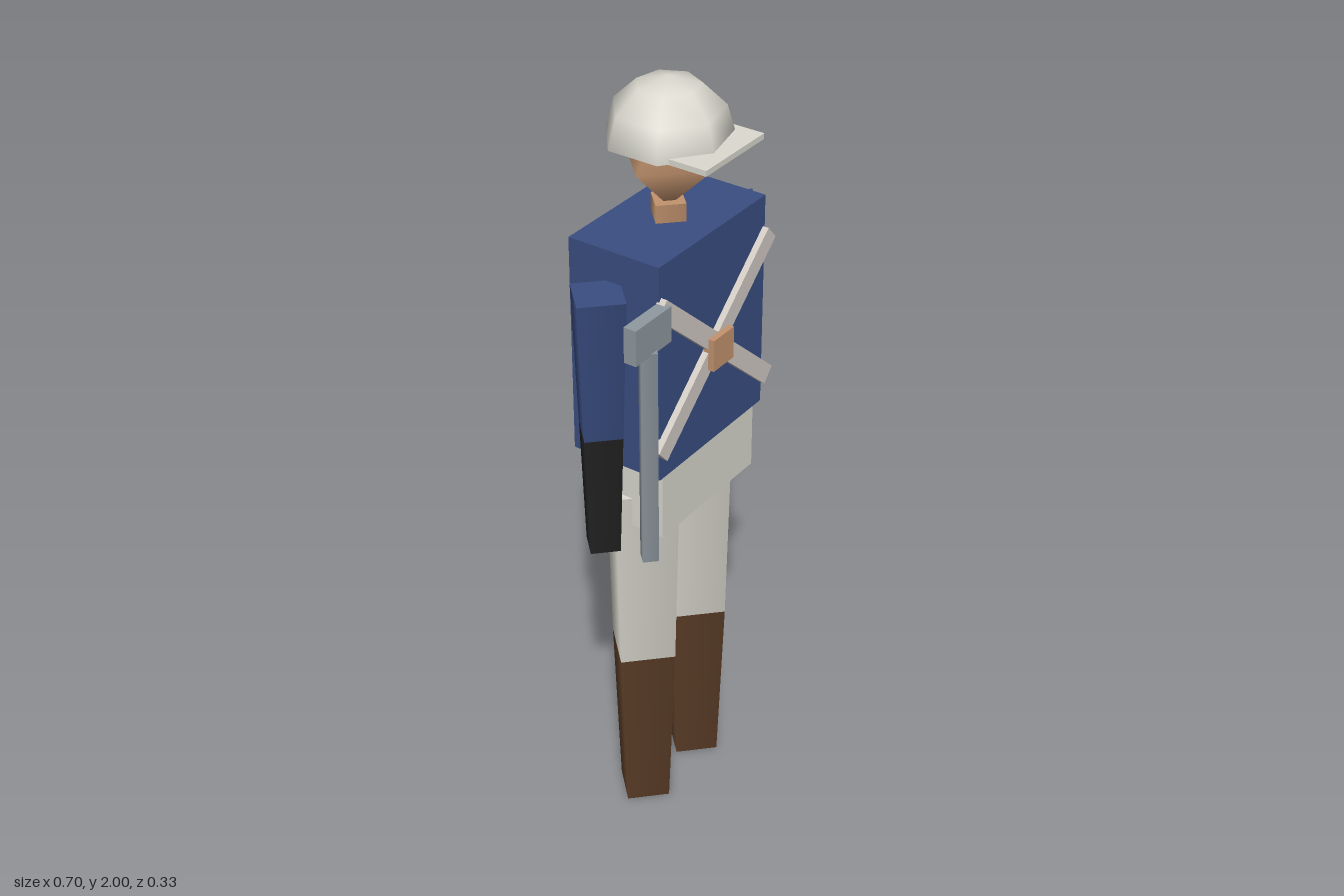
import * as THREE from 'three';

const mat = (name, color) => {
  const m = new THREE.MeshStandardMaterial({ color });
  m.name = name;
  return m;
};

export function createModel() {
  const blue = mat('coat blue', 0x3a4e82);
  const white = mat('off white', 0xdcdad0);
  const strapMat = mat('strap white', 0xd2ccc4);
  const brown = mat('boot brown', 0x5f4029);
  const black = mat('glove black', 0x242424);
  const steel = mat('steel grey', 0x909aa2);
  const skin = mat('skin', 0xc4946f);

  const model = new THREE.Group();
  model.name = 'soldier';
  const Z = -0.017; // body centre line

  const add = (name, geometry, material, x, y, z) => {
    const mesh = new THREE.Mesh(geometry, material);
    mesh.name = name;
    mesh.position.set(x, y, z);
    model.add(mesh);
    return mesh;
  };
  // box given by its lower and upper corners
  const box = (name, material, [x0, y0, z0], [x1, y1, z1]) =>
    add(name, new THREE.BoxGeometry(x1 - x0, y1 - y0, z1 - z0), material,
      (x0 + x1) / 2, (y0 + y1) / 2, (z0 + z1) / 2);
  // four-sided tapered limb with its corners on the axes, softly shaded
  const limb = (name, material, x, z, y0, r0, y1, r1) =>
    add(name, new THREE.CylinderGeometry(r1, r0, y1 - y0, 4), material, x, (y0 + y1) / 2, z);

  // body
  box('torso', blue, [-0.213, 1.09, -0.141], [0.213, 1.655, 0.108]);
  box('hips', white, [-0.192, 0.91, -0.13], [0.192, 1.095, 0.1]);

  // arms and legs on both sides
  for (const side of [-1, 1]) {
    const label = side > 0 ? 'left' : 'right';
    limb(label + 'Sleeve', blue, side * 0.271, Z, 1.215, 0.064, 1.577, 0.079);
    limb(label + 'Glove', black, side * 0.271, Z, 0.89, 0.051, 1.215, 0.064);
    limb(label + 'Leg', white, side * 0.112, Z, 0.48, 0.098, 0.988, 0.11);
    limb(label + 'Boot', brown, side * 0.112, Z, 0, 0.078, 0.48, 0.098);
  }

  // neck and diamond-shaped head
  limb('neck', skin, 0, Z, 1.63, 0.05, 1.7, 0.05);
  add('head', new THREE.SphereGeometry(0.123, 4, 2), skin, 0, 1.803, Z);

  // seven-sided helmet dome, its underside and the peak
  const dome = add('helmet',
    new THREE.SphereGeometry(0.152, 7, 3, 0, Math.PI * 2, 0, Math.PI / 2), white, 0, 1.853, Z);
  dome.scale.y = 0.147 / 0.152;
  dome.rotation.y = Math.PI;
  const under = add('helmetUnderside', new THREE.CircleGeometry(0.152, 7), white, 0, 1.853, Z);
  under.rotation.x = Math.PI / 2;
  box('helmetPeak', white, [-0.114, 1.851, 0.06], [0.114, 1.865, 0.163]);

  // crossed chest straps and buckle
  for (const side of [-1, 1]) {
    const strap = add(side > 0 ? 'strapRising' : 'strapFalling',
      new THREE.BoxGeometry(0.592, 0.048, 0.022), strapMat, 0, 1.362, 0.113);
    strap.rotation.z = side * 0.726;
  }
  box('buckle', skin, [-0.041, 1.312, 0.11], [0.041, 1.395, 0.14]);

  // hammer held at the right side
  limb('hammerHandle', steel, -0.273, 0.12, 0.91, 0.027, 1.48, 0.027);
  box('hammerHead', steel, [-0.34, 1.475, 0.103], [-0.205, 1.565, 0.136]);

  return model;
}
